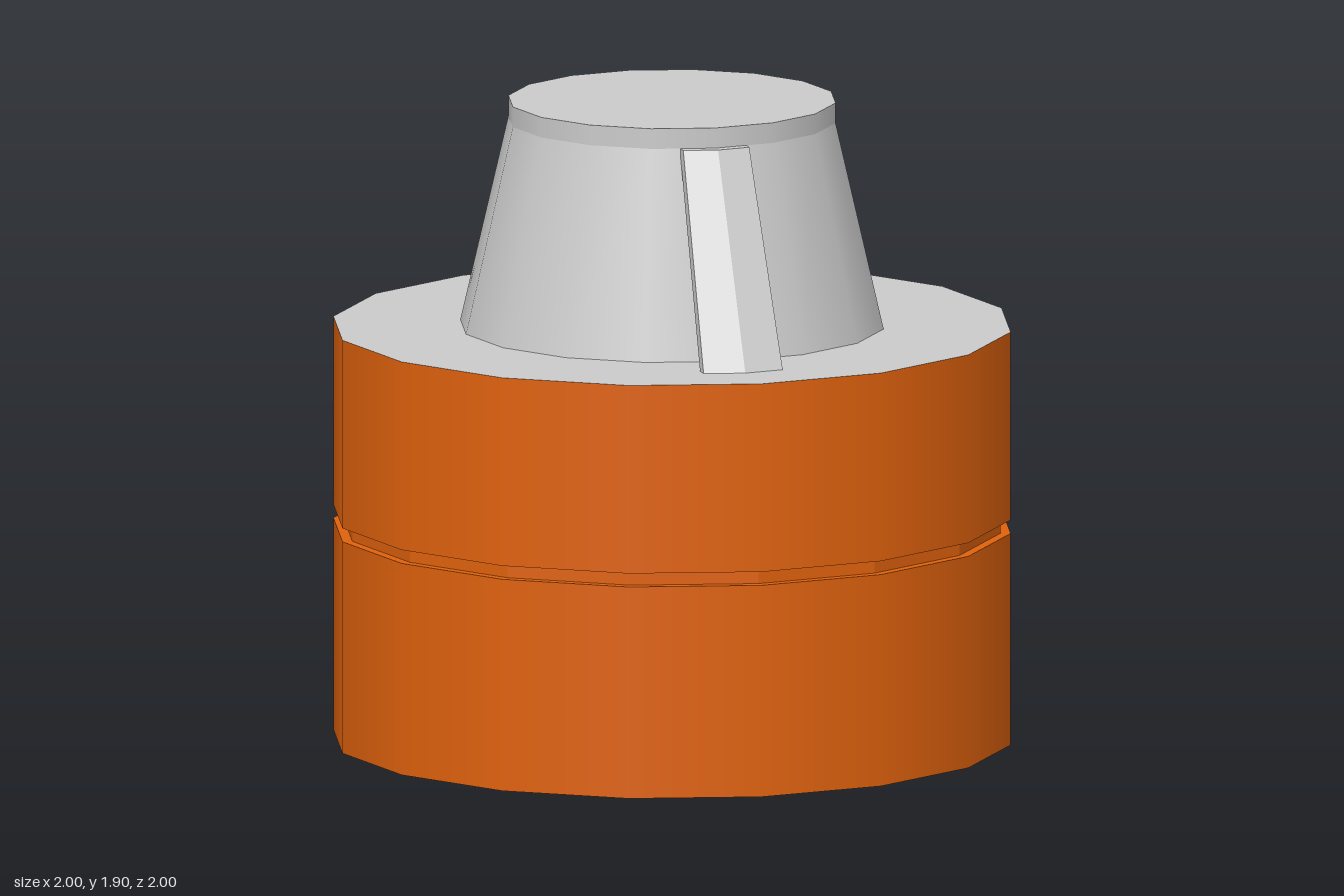
import * as THREE from 'three';

const SIDES = 16;
const grey = new THREE.MeshStandardMaterial({ color: 0xcccccc });
const orange = new THREE.MeshStandardMaterial({ color: 0xe0620d });
const orangeFlat = new THREE.MeshStandardMaterial({ color: 0xe0620d, flatShading: true });

// Sixteen-sided drum or cone standing between two heights
function drum(name, rBottom, rTop, y0, y1, materials, open = false) {
  const geometry = new THREE.CylinderGeometry(rTop, rBottom, y1 - y0, SIDES, 1, open);
  geometry.translate(0, (y0 + y1) / 2, 0);
  const mesh = new THREE.Mesh(geometry, materials);
  mesh.name = name;
  return mesh;
}

// Chevron-shaped ring of six points: outer edge left to right, inner edge back
function strutSection(y, halfWidth, zOuter, zInner, bend) {
  return [
    [-halfWidth, y, zOuter - bend], [0, y, zOuter], [halfWidth, y, zOuter - bend],
    [halfWidth, y, zInner - bend], [0, y, zInner], [-halfWidth, y, zInner - bend],
  ];
}

// Leaning strut lofted between its foot and its head, with both ends closed
function strutGeometry() {
  const foot = strutSection(1.23, 0.12, 0.82, 0.78, 0.024);
  const head = strutSection(1.84, 0.1, 0.515, 0.475, 0.02);
  const positions = [];
  const quad = (a, b, c, d) => positions.push(...a, ...b, ...c, ...a, ...c, ...d);
  for (let i = 0; i < 6; i++) {
    const j = (i + 1) % 6;
    quad(foot[i], foot[j], head[j], head[i]);
  }
  for (const [a, b, c, d] of [[0, 1, 4, 5], [1, 2, 3, 4]]) {
    quad(head[a], head[b], head[c], head[d]);
    quad(foot[d], foot[c], foot[b], foot[a]);
  }
  const geometry = new THREE.BufferGeometry();
  geometry.setAttribute('position', new THREE.Float32BufferAttribute(positions, 3));
  geometry.computeVertexNormals();
  return geometry;
}

export function createModel() {
  const model = new THREE.Group();
  model.name = 'capsule';

  // Two-part body with a recessed seam and a grey deck
  model.add(
    drum('lowerBody', 1, 1, 0, 0.63, orange),
    drum('seam', 0.97, 0.97, 0.63, 0.67, orangeFlat, true),
    drum('upperBody', 1, 1, 0.67, 1.23, [orange, grey, orange]),
  );

  // Tapered tower with a short straight collar
  model.add(
    drum('tower', 0.625, 0.483, 1.23, 1.84, grey, true),
    drum('collar', 0.483, 0.483, 1.84, 1.9, grey),
  );

  // Front and back struts leaning against the tower
  const geometry = strutGeometry();
  ['frontStrut', 'backStrut'].forEach((name, i) => {
    const strut = new THREE.Mesh(geometry, grey);
    strut.name = name;
    strut.rotation.y = i * Math.PI;
    model.add(strut);
  });

  return model;
}
